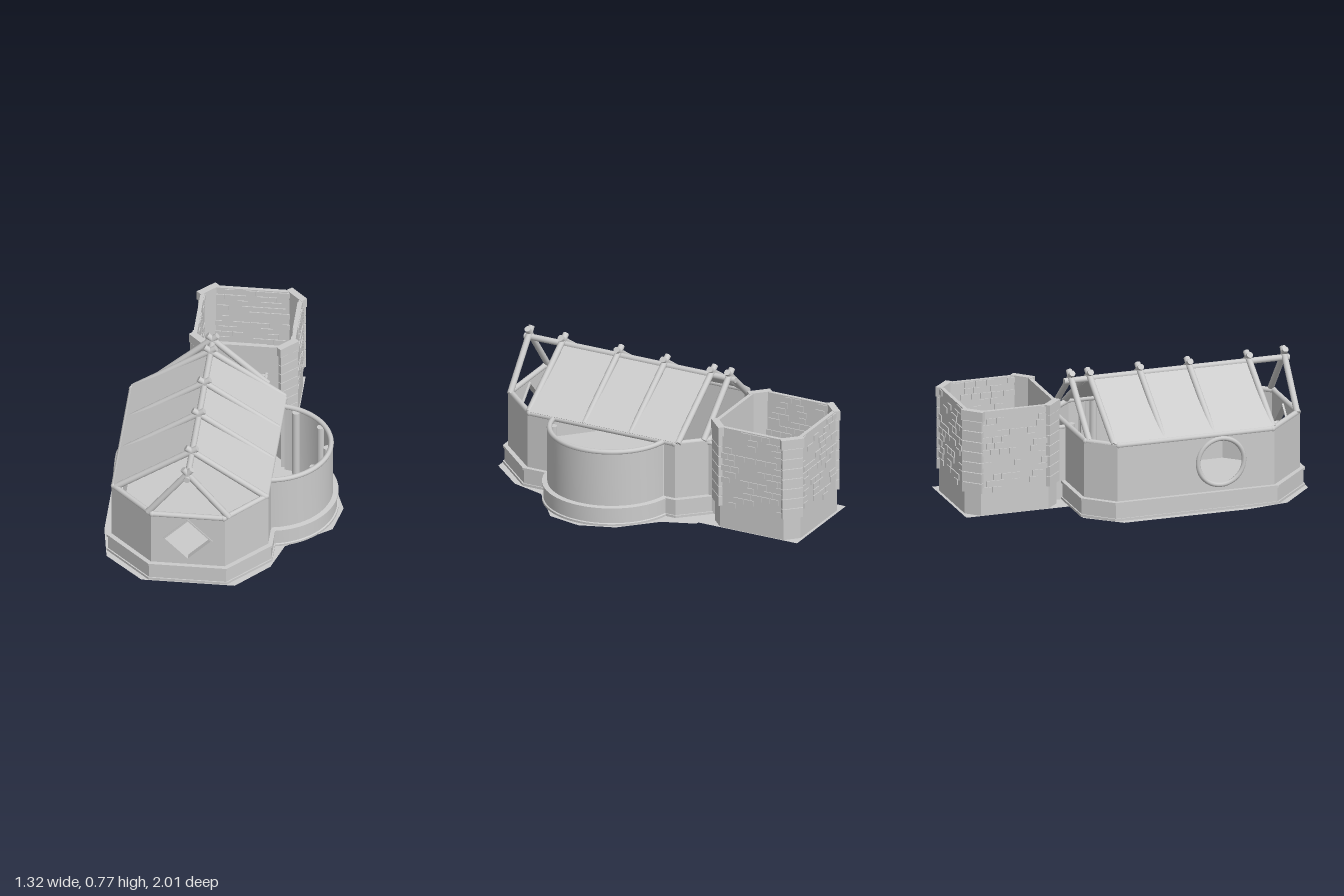
import * as THREE from 'three';
import { mergeGeometries, toCreasedNormals } from 'three/addons/utils/BufferGeometryUtils.js';

const mat = new THREE.MeshStandardMaterial({ color: 0xcccccc, side: THREE.DoubleSide });

function add(parent, name, geo, x = 0, y = 0, z = 0) {
  const m = new THREE.Mesh(geo, mat);
  m.name = name;
  m.position.set(x, y, z);
  parent.add(m);
  return m;
}

// Round pole between two points
function pole(parent, name, a, b, r = 0.016) {
  const A = new THREE.Vector3(...a), B = new THREE.Vector3(...b);
  const d = B.clone().sub(A);
  const m = add(parent, name, new THREE.CylinderGeometry(r, r, d.length(), 12));
  m.position.copy(A).add(B).multiplyScalar(0.5);
  m.quaternion.setFromUnitVectors(new THREE.Vector3(0, 1, 0), d.normalize());
  return m;
}

// Frame whose x runs from a to b (x, z pairs) and whose z points out of the building
function frame(parent, name, a, b) {
  const g = new THREE.Group();
  g.name = name;
  g.position.set(a[0], 0, a[1]);
  g.rotation.y = Math.atan2(a[1] - b[1], b[0] - a[0]);
  g.userData.length = Math.hypot(b[0] - a[0], b[1] - a[1]);
  parent.add(g);
  return g;
}

// Upright slab with optional holes, its outer face on the line a-b
function wall(parent, name, a, b, y0, y1, t, hole) {
  const g = frame(parent, name, a, b), L = g.userData.length;
  const s = new THREE.Shape([[0, y0], [L, y0], [L, y1], [0, y1]].map(p => new THREE.Vector2(...p)));
  if (hole) s.holes.push(hole);
  add(g, name + 'Slab', new THREE.ExtrudeGeometry(s, { depth: t, bevelEnabled: false, curveSegments: 24 }), 0, 0, -t);
  return g;
}

const polygon = pts => new THREE.Path(pts.map(p => new THREE.Vector2(...p)));

let seed = 7;
const rnd = () => (seed = (seed * 16807) % 2147483647) / 2147483647;

// Raised bricks scattered over a wall face
function bricks(parent, name, L, z, density) {
  const list = [], h = 0.037;
  for (let row = 0; row < 13; row++) {
    let x = 0.005 + (row % 2) * 0.025;
    while (x < L - 0.03) {
      const w = Math.min(0.045 + rnd() * 0.03, L - x);
      if (rnd() < density) {
        list.push(new THREE.BoxGeometry(w - 0.005, h - 0.005, 0.012)
          .translate(x + w / 2, 0.13 + (row + 0.5) * h, z));
      }
      x += w;
    }
  }
  add(parent, name, mergeGeometries(list));
}

export function createModel() {
  const root = new THREE.Group();
  root.name = 'house';

  // Ground sheet
  const ground = [[-0.28, -1], [0.31, -1], [0.31, -0.37], [0.33, -0.37], [0.4, -0.18], [0.59, 0.01], [0.66, 0.21],
    [0.62, 0.41], [0.37, 0.6], [0.31, 0.8], [0.13, 1], [-0.4, 1], [-0.62, 0.8], [-0.66, 0.55], [-0.66, -0.19],
    [-0.5, -0.38], [-0.28, -0.36]];
  const sheet = new THREE.Shape(ground.map(([x, z]) => new THREE.Vector2(x, -z)));
  add(root, 'ground', new THREE.ShapeGeometry(sheet).rotateX(-Math.PI / 2));

  // Hall walls, open on the right side towards the bay
  const hall = new THREE.Group();
  hall.name = 'hall';
  root.add(hall);
  const plan = [[0.29, -0.14], [0.29, -0.21], [0.15, -0.36], [-0.46, -0.36], [-0.6, -0.21], [-0.6, 0.73],
    [-0.35, 0.97], [0.07, 0.97], [0.29, 0.73], [0.29, 0.58]];
  const grow = ([x, z], d) => [-0.155 + (x + 0.155) * (1 + d / 0.445), 0.305 + (z - 0.305) * (1 + d / 0.665)];
  const round = new THREE.Path().absarc(0.62, 0.28, 0.135, 0, Math.PI * 2, true);
  const diamond = r => polygon([[0.21, 0.28 - r], [0.21 + r, 0.28], [0.21, 0.28 + r], [0.21 - r, 0.28]]);
  const holes = { 2: polygon([[0.02, 0.01], [0.26, 0.01], [0.26, 0.38], [0.02, 0.38]]), 4: round, 6: diamond(0.13) };
  for (let i = 0; i < plan.length - 1; i++) {
    const a = plan[i], b = plan[i + 1];
    const w = wall(hall, 'hallWall', a, b, 0, 0.44, 0.025, holes[i]);
    for (const [d, y0, y1] of [[0.018, 0, 0.106], [0.025, 0, 0.014], [0.025, 0.096, 0.11]]) {
      wall(hall, 'plinth', grow(a, d), grow(b, d), y0, y1, d + 0.005);
    }
    if (i === 6) {
      // Diamond window frame
      const s = new THREE.Shape(diamond(0.143).getPoints());
      s.holes.push(diamond(0.13));
      add(w, 'diamondFrame', new THREE.ExtrudeGeometry(s, { depth: 0.04, bevelEnabled: false }), 0, 0, -0.036);
    }
  }
  // Round window frame
  add(hall, 'roundWindowFrame', new THREE.TorusGeometry(0.137, 0.014, 8, 40).rotateY(Math.PI / 2), -0.6, 0.28, 0.41);

  // Wall-top beams
  const rim = plan.slice(1, 9).map(p => grow(p, -0.013));
  rim.forEach((a, i) => {
    const b = rim[(i + 1) % rim.length];
    pole(hall, 'wallBeam', [a[0], 0.437, a[1]], [b[0], 0.437, b[1]]);
    add(hall, 'beamJoint', new THREE.SphereGeometry(0.018, 12, 8), a[0], 0.437, a[1]);
  });

  // Planks and posts inside the back wall
  for (let i = 0; i < 10; i++) add(hall, 'plank', new THREE.BoxGeometry(0.3, 0.037, 0.012), -0.3, 0.022 + i * 0.042, -0.325);
  for (const x of [-0.13, 0.15]) pole(hall, 'doorPost', [x, 0, -0.32], [x, 0.44, -0.32], 0.02);

  // Roof: two sloping panels, rafters crossing over a ridge pole
  const roof = new THREE.Group();
  roof.name = 'roof';
  root.add(roof);
  const rx = -0.145, ry = 0.7;
  pole(roof, 'ridgePole', [rx, ry, -0.37], [rx, ry, 0.975], 0.018);
  for (const ex of [-0.59, 0.285]) {
    const dx = ex - rx, dy = 0.445 - ry;
    const panel = add(roof, 'roofPanel', new THREE.BoxGeometry(Math.hypot(dx, dy), 0.012, 0.95), (ex + rx) / 2, (ry + 0.445) / 2, 0.252);
    panel.rotation.z = Math.atan(dy / dx);
  }
  const trusses = [[0.945, -0.37, 0.09], [0.73, -0.575, 0.275], [0.375, -0.575, 0.275], [0.08, -0.575, 0.275],
    [-0.22, -0.575, 0.275], [-0.33, -0.46, 0.17]];
  for (const [z, left, right] of trusses) {
    for (const x of [left, right]) {
      const k = 0.04 / Math.hypot(x - rx, 0.28);
      pole(roof, 'rafter', [x, 0.44, z], [rx - (x - rx) * k, 0.725 + 0.28 * k, z], 0.018);
    }
  }

  // Rounded bay with plinth, top ring and inner columns
  const bay = new THREE.Group();
  bay.name = 'bay';
  bay.position.set(0.236, 0, 0.22);
  root.add(bay);
  const half = 1.42;
  const profile = [[0.394, 0], [0.394, 0.012], [0.386, 0.015], [0.386, 0.095], [0.394, 0.098], [0.394, 0.109],
    [0.364, 0.112], [0.364, 0.44], [0.342, 0.44], [0.342, 0]].map(p => new THREE.Vector2(...p));
  add(bay, 'bayWall', toCreasedNormals(new THREE.LatheGeometry(profile, 40, Math.PI / 2 - half, half * 2), 0.4));
  const ring = new THREE.TorusGeometry(0.352, 0.015, 10, 40, half * 2).rotateZ(-half).rotateX(Math.PI / 2);
  add(bay, 'bayRing', ring, 0, 0.437, 0);
  for (let i = -2; i <= 2; i++) {
    const a = i * 0.6;
    add(bay, 'bayColumn', new THREE.CylinderGeometry(0.022, 0.022, 0.43, 12), Math.cos(a) * 0.332, 0.215, Math.sin(a) * 0.332);
  }

  // Passage between hall and tower
  for (const x of [-0.13, 0.15]) {
    add(root, 'passageWall', new THREE.BoxGeometry(0.02, 0.42, 0.09), x, 0.21, -0.4);
    pole(root, 'passageBeam', [x, 0.425, -0.35], [x, 0.425, -0.44], 0.012);
  }
  pole(root, 'passageLintel', [-0.14, 0.425, -0.415], [0.16, 0.425, -0.415], 0.012);

  // Open brick tower with blocked corners
  const tower = new THREE.Group();
  tower.name = 'tower';
  root.add(tower);
  const [x0, x1, z0, z1, c] = [-0.275, 0.305, -0.983, -0.435, 0.072];
  const tp = [[x0 + c, z1], [x1 - c, z1], [x1, z1 - c], [x1, z0 + c], [x1 - c, z0], [x0 + c, z0], [x0, z0 + c], [x0, z1 - c]];
  tp.forEach((a, i) => {
    const b = tp[(i + 1) % 8];
    const door = i === 0 && polygon([[0.09, 0.01], [0.33, 0.01], [0.33, 0.38], [0.09, 0.38]]);
    const w = wall(tower, 'towerWall', a, b, 0, 0.615, 0.022, door);
    const L = w.userData.length;
    if (i % 2 === 0) {
      if (!door) {
        bricks(w, 'outerBricks', L, 0, 0.5);
        bricks(w, 'innerBricks', L, -0.022, 0.6);
      }
      return;
    }
    for (let r = 0; r < 8; r++) {
      const top = r === 7;
      add(w, 'cornerBlock', new THREE.BoxGeometry(top ? 0.135 : 0.122, 0.057, top ? 0.04 : 0.034), L / 2, 0.162 + r * 0.061, -0.004);
    }
  });

  return root;
}
